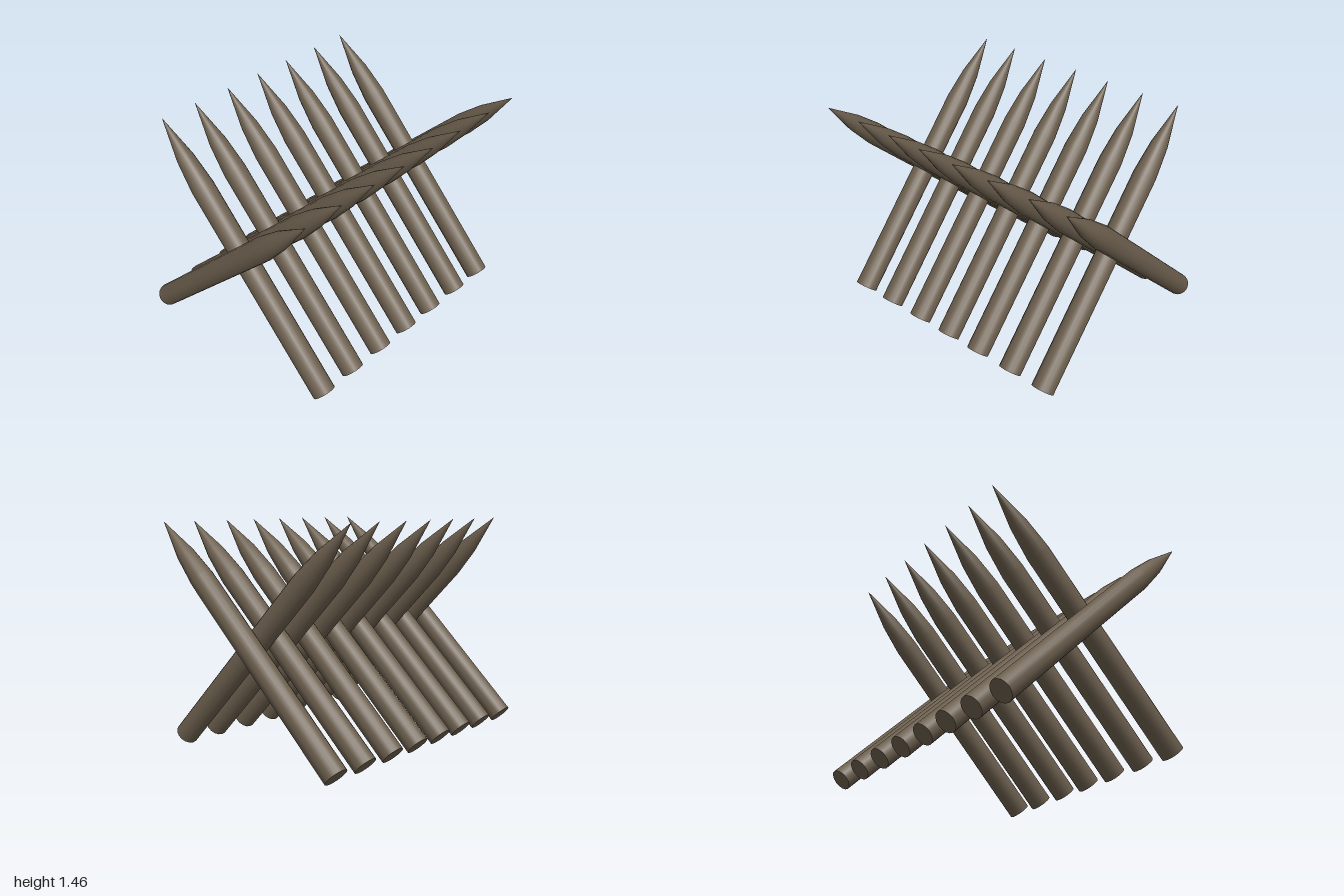
import * as THREE from 'three';
import { toCreasedNormals } from 'three/addons/utils/BufferGeometryUtils.js';

const LENGTH = 1.97;
const RADIUS = 0.075;

// Sharpened log standing on its flat end, point upwards
function makeStakeGeometry() {
  const profile = [
    [0, 0],
    [RADIUS, 0],
    [RADIUS, 1.48],
    [0.056, LENGTH - 0.28],
    [0, LENGTH],
  ].map(([r, y]) => new THREE.Vector2(r, y));
  return toCreasedNormals(new THREE.LatheGeometry(profile, 16), 0.7);
}

export function createModel() {
  const model = new THREE.Group();
  model.name = 'stakeBarricade';
  const wood = new THREE.MeshStandardMaterial({ color: 0x6b5e4d });
  const geometry = makeStakeGeometry();
  const up = new THREE.Vector3(0, 1, 0);

  // Row of parallel stakes; each entry holds the x of its base and of its tip
  function addRow(name, ends, baseY, baseZ, tipY, tipZ) {
    const row = new THREE.Group();
    row.name = name;
    ends.forEach(([baseX, tipX], i) => {
      const base = new THREE.Vector3(baseX, baseY, baseZ);
      const axis = new THREE.Vector3(tipX, tipY, tipZ).sub(base);
      const stake = new THREE.Mesh(geometry, wood);
      stake.name = `${name}Stake${i + 1}`;
      stake.position.copy(base);
      stake.scale.y = axis.length() / LENGTH;
      stake.quaternion.setFromUnitVectors(up, axis.normalize());
      row.add(stake);
    });
    model.add(row);
  }

  // Eight stakes pointing forwards
  addRow('forward', [
    [-0.925, -0.935], [-0.65, -0.66], [-0.39, -0.4], [-0.14, -0.15],
    [0.12, 0.11], [0.385, 0.37], [0.655, 0.66], [0.922, 0.91],
  ], 0.073, -0.693, 1.45, 0.71);

  // Seven stakes pointing backwards, set in the gaps
  addRow('backward', [
    [-0.795, -0.803], [-0.535, -0.547], [-0.27, -0.28], [-0.01, -0.02],
    [0.245, 0.238], [0.515, 0.507], [0.775, 0.765],
  ], 0.055, 0.695, 1.465, -0.675);

  return model;
}
